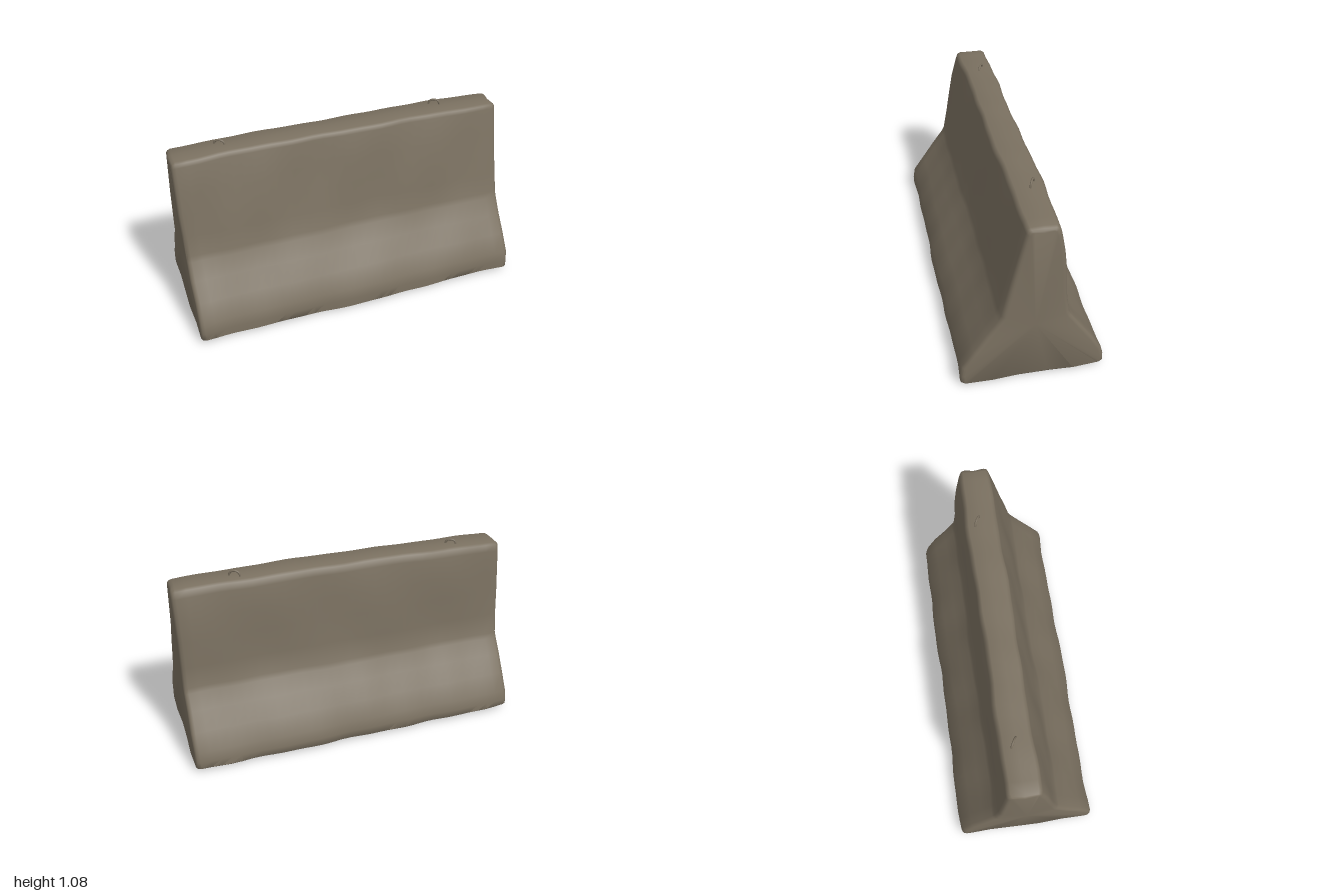
import * as THREE from 'three';
import { toCreasedNormals } from 'three/addons/utils/BufferGeometryUtils.js';

// Cross-section as [z, y], from the front foot over the top to the back foot
const PROFILE = [
  [0.395, 0.02], [0.408, 0.03], [0.408, 0.08], [0.397, 0.14], [0.33, 0.24], [0.26, 0.345],
  [0.195, 0.44], [0.18, 0.475], [0.155, 0.6], [0.128, 0.73], [0.1, 0.87], [0.067, 1.01],
  [0.06, 1.032], [0.045, 1.04], [-0.03, 1.04], [-0.1, 1.04], [-0.116, 1.03], [-0.126, 0.99],
  [-0.143, 0.86], [-0.157, 0.73], [-0.167, 0.57], [-0.185, 0.445], [-0.2, 0.415],
  [-0.26, 0.325], [-0.33, 0.225], [-0.388, 0.125], [-0.404, 0.07], [-0.406, 0.03],
  [-0.395, 0.02], [-0.25, 0.013], [-0.1, 0.01], [0.1, 0.01], [0.25, 0.013],
];

// Rounded ends: [distance from the end, inset of the cross-section]
const BEVEL = [[0, 0.026], [0.003, 0.015], [0.01, 0.006], [0.026, 0]];

// Gentle unevenness of worn concrete
function wear(x, y, side) {
  return 0.004 * Math.sin(x * 5.3 + y * 6 + side) +
    0.003 * Math.sin(x * 11.7 - y * 9 + side * 2.1) +
    0.002 * Math.sin(x * 23 + y * 4 + side * 3.7);
}

function barrierGeometry() {
  const stations = BEVEL.map(([d, inset]) => [-0.995 + d, inset]);
  for (let i = 1; i < 32; i++) stations.push([-0.969 + 1.938 * i / 32, 0]);
  for (const [d, inset] of [...BEVEL].reverse()) stations.push([0.995 - d, inset]);

  const positions = [], index = [], n = PROFILE.length;
  for (const [x, inset] of stations) {
    for (const [z, y] of PROFILE) {
      // pull the outline towards an upright spine at the ends
      const dz = -0.025 - z, dy = THREE.MathUtils.clamp(y, 0.08, 0.98) - y;
      const k = inset / Math.hypot(dz, dy);
      const side = z > -0.03 ? 1 : -1;
      const edge = THREE.MathUtils.smoothstep(Math.abs(z + 0.03), 0, 0.08);
      let py = y + dy * k;
      if (y > 0.98) py += 0.007 * (1 - 2 * x * x) + 0.4 * wear(x, z, 5);
      if (y < 0.05) py += 0.5 * wear(x, z, 2) - 0.004 * Math.cos(x * 2.5);
      positions.push(x + 0.6 * wear(z * 2, y, 4), py, z + dz * k + edge * side * wear(x, y, side));
    }
  }
  for (let i = 0; i < stations.length - 1; i++) {
    for (let j = 0; j < n; j++) {
      const a = i * n + j, b = i * n + (j + 1) % n;
      index.push(a, a + n, b + n, a, b + n, b);
    }
  }
  // end caps
  const last = (stations.length - 1) * n;
  const capL = positions.length / 3;
  positions.push(-0.997, 0.4, 0, 0.997, 0.4, 0);
  for (let j = 0; j < n; j++) {
    const k = (j + 1) % n;
    index.push(capL, j, k, capL + 1, last + k, last + j);
  }
  const geometry = new THREE.BufferGeometry();
  geometry.setAttribute('position', new THREE.Float32BufferAttribute(positions, 3));
  geometry.setIndex(index);
  return toCreasedNormals(geometry, 0.9);
}

// Bent bar whose two feet are sunk in the top
function loopGeometry() {
  const points = [[-0.03, -0.03], [-0.032, 0.01], [-0.022, 0.03], [0, 0.037],
    [0.022, 0.03], [0.032, 0.01], [0.03, -0.03]].map(([x, y]) => new THREE.Vector3(x, y, 0));
  return new THREE.TubeGeometry(new THREE.CatmullRomCurve3(points), 24, 0.006, 8);
}

export function createModel() {
  const model = new THREE.Group();
  model.name = 'concreteBarrier';
  const concrete = new THREE.MeshStandardMaterial({ color: 0x7a7060 });
  concrete.name = 'concrete';

  const body = new THREE.Mesh(barrierGeometry(), concrete);
  body.name = 'barrierBody';
  model.add(body);

  // lifting loops
  const loop = loopGeometry();
  for (const [name, x, y, z] of [['rightLiftingLoop', -0.7, 1.029, -0.045], ['leftLiftingLoop', 0.63, 1.036, -0.055]]) {
    const mesh = new THREE.Mesh(loop, concrete);
    mesh.name = name;
    mesh.position.set(x, y, z);
    mesh.rotation.y = -0.5;
    model.add(mesh);
  }
  return model;
}
